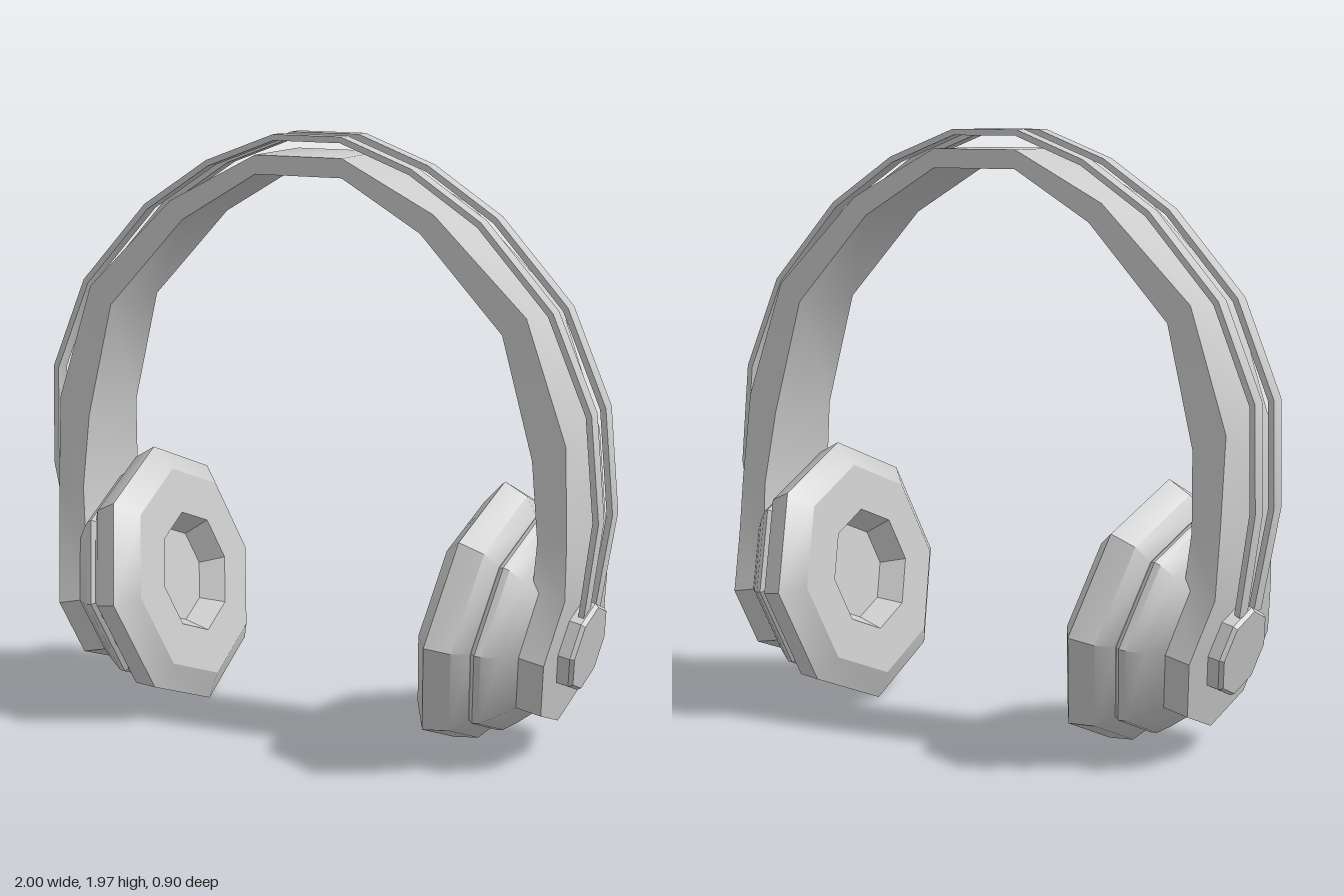
import * as THREE from 'three';
import { toCreasedNormals } from 'three/addons/utils/BufferGeometryUtils.js';

const material = new THREE.MeshStandardMaterial({ color: 0xcccccc });
const CREASE = 0.6;

function addMesh(parent, geometry, name) {
  const mesh = new THREE.Mesh(toCreasedNormals(geometry, CREASE), material);
  mesh.name = name;
  parent.add(mesh);
  return mesh;
}

// Eight-sided turned part; profile is [radius, distance along axis]
const turned = (profile) =>
  new THREE.LatheGeometry(profile.map(([r, t]) => new THREE.Vector2(r, t)), 8);

// Closed bar of rectangular sections { o: outer [x,y], i: inner [x,y], z0, z1 }
function bar(sections) {
  const pos = [], idx = [];
  for (const { o, i, z0, z1 } of sections) {
    pos.push(...o, z1, ...o, z0, ...i, z0, ...i, z1);
  }
  const quad = (a, b, c, d) => idx.push(a, b, c, a, c, d);
  for (let s = 0; s < sections.length - 1; s++) {
    for (let k = 0; k < 4; k++) {
      const l = (k + 1) % 4, p = s * 4, q = p + 4;
      quad(p + k, q + k, q + l, p + l);
    }
  }
  const e = (sections.length - 1) * 4;
  quad(0, 1, 2, 3);
  quad(e + 3, e + 2, e + 1, e);
  const g = new THREE.BufferGeometry();
  g.setAttribute('position', new THREE.Float32BufferAttribute(pos, 3));
  g.setIndex(idx);
  return g;
}

// Ear cup placement: centre of the inner face and tilt of the axis
const SIDES = {
  '-1': { name: 'right', x: -0.497, y: 0.455, tilt: 0.234 },
  '1': { name: 'left', x: 0.508, y: 0.46, tilt: 0.185 },
};

// Point at distance t outward along a cup's axis and h up across it
function cupPoint(s, t, h) {
  const { x, y, tilt } = SIDES[s], c = Math.cos(tilt), n = Math.sin(tilt);
  return [x + s * (c * t + n * h), y - n * t + c * h];
}

// The arch sits very slightly off centre towards its top
const arch = (s, [x, y]) =>
  [s * x - 0.018 * THREE.MathUtils.clamp((y - 0.7) / 0.5, 0, 1), y];

// Full run from one side over the top to the other
const bothSides = (half) => [...half(-1).reverse(), ...half(1)];

// Headband: [outer, inner, half width] from the top down
const BAND = [
  [[0.154, 1.912], [0.154, 1.85], 0.153],
  [[0.471, 1.75], [0.425, 1.69], 0.153],
  [[0.784, 1.448], [0.705, 1.39], 0.153],
  [[0.917, 1.059], [0.805, 1.005], 0.155],
  [[0.925, 0.76], [0.828, 0.755], 0.18],
];
// Octagonal end plate: [height across the cup, half width]
const PLATE = [[0.195, 0.197], [0, 0.275], [-0.195, 0.195], [-0.272, 0.001]];

function bandHalf(s) {
  return [
    ...BAND.map(([o, i, w]) => ({ o: arch(s, o), i: arch(s, i), z0: -w, z1: w })),
    ...PLATE.map(([h, w]) =>
      ({ o: cupPoint(s, 0.39, h), i: cupPoint(s, 0.28, h), z0: -w, z1: w })),
  ];
}

// Thin outer rails: outer edge from the top down
const RAIL = [[0.121, 1.974], [0.367, 1.882], [0.604, 1.727], [0.848, 1.459],
  [0.979, 1.15], [0.998, 0.81], [0.946, 0.48]];

function railHalf(s, zSide) {
  return RAIL.map((p, k) => {
    const d = new THREE.Vector2(p[0], p[1] - 0.9).setLength(0.02);
    const inner = [p[0] - d.x, p[1] - d.y];
    const z = zSide * (k === RAIL.length - 1 ? 0.05 : 0.066);
    return { o: arch(s, p), i: arch(s, inner), z0: z - 0.027, z1: z + 0.027 };
  });
}

// Cushion with a recessed centre, then the stepped shell behind it
const CUSHION = [[0, 0.08], [0.165, 0.08], [0.21, 0], [0.365, 0],
  [0.45, 0.055], [0.424, 0.137], [0.368, 0.18], [0, 0.18]];
const SHELL = [[0, 0.175], [0.36, 0.175], [0.375, 0.195], [0.368, 0.215],
  [0.325, 0.26], [0.275, 0.305], [0, 0.305]];
const BUTTON = [[0, 0.37], [0.15, 0.37], [0.15, 0.43], [0.14, 0.443], [0, 0.443]];

export function createModel() {
  const model = new THREE.Group();
  model.name = 'headphones';

  addMesh(model, bar(bothSides(bandHalf)), 'headband');
  for (const z of [1, -1]) {
    addMesh(model, bar(bothSides((s) => railHalf(s, z))), z > 0 ? 'frontRail' : 'backRail');
  }

  for (const s of [-1, 1]) {
    const { name, x, y, tilt } = SIDES[s];
    const cup = new THREE.Group();
    cup.name = name + 'EarCup';
    cup.position.set(x, y, 0);
    cup.rotation.z = -s * (Math.PI / 2 + tilt);
    addMesh(cup, turned(CUSHION), name + 'Cushion');
    addMesh(cup, turned(SHELL), name + 'Shell');
    addMesh(cup, turned(BUTTON), name + 'Button');
    model.add(cup);
  }
  return model;
}
